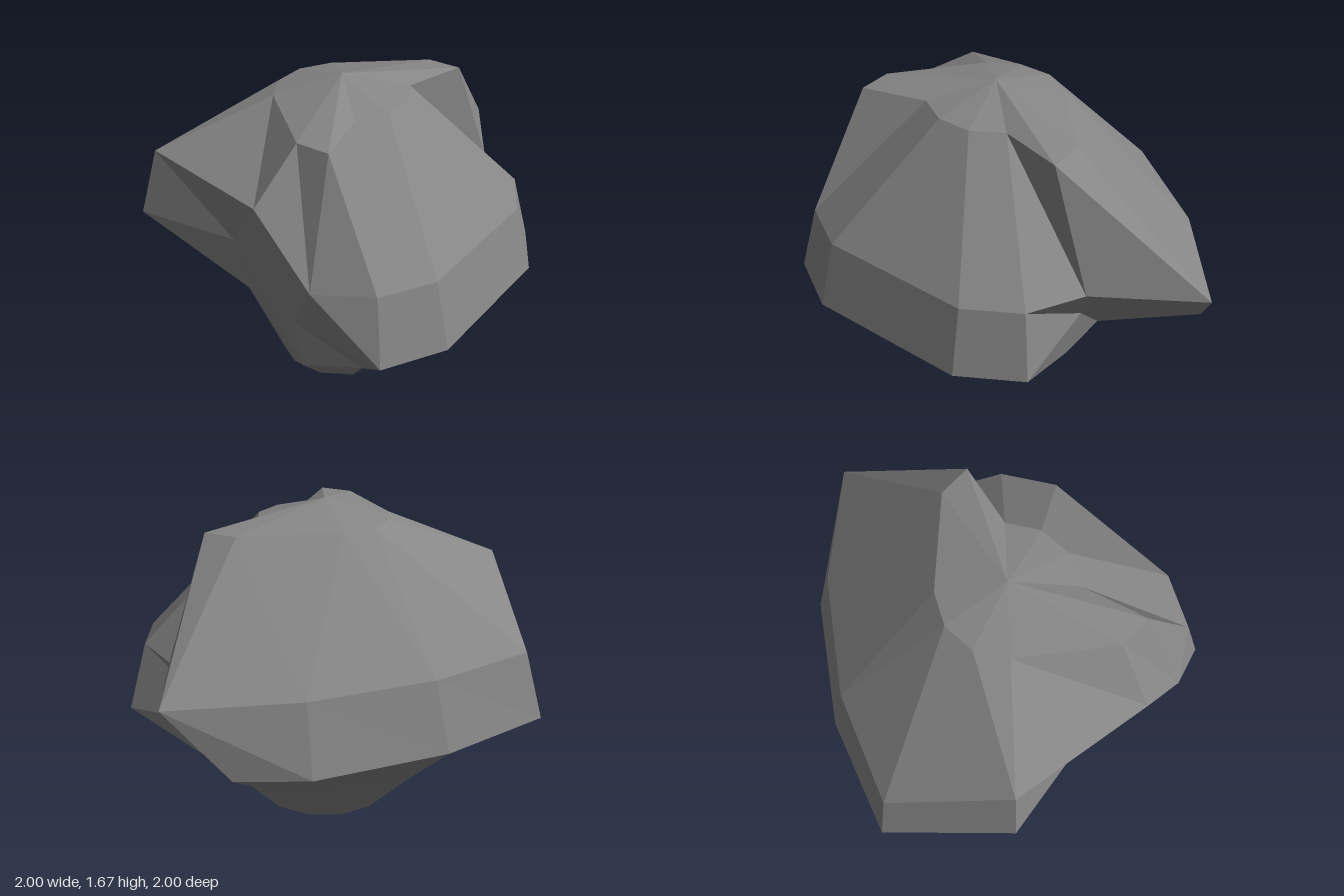
import * as THREE from 'three';

const STEP = 1 / 3;
const SIDES = 12;
const RINGS = 6;

// Whole-step bulges [x, y, z] for each ring of the boulder, starting at -x and turning through +z
const still = [0, 0, 0], up = [0, 1, 0], right = [1, 0, 0], front = [0, 0, 1], back = [0, 0, -1];
const upFront = [0, 1, 1], upRight = [1, 1, 0], upLeft = [-1, 1, 0];
const backRight = [1, 0, -1], backLeft = [-1, 0, -1], spur = [2, 0, -1];

const bulges = [
  Array(SIDES).fill(up),
  [up, upFront, upFront, up, up, up, up, upRight, upRight, up, up, up],
  [upLeft, upFront, front, front, front, right, right, right, spur, backRight, back, backLeft],
  [upLeft, up, still, front, front, right, right, still, backRight, backRight, back, backLeft],
  [up, up, ...Array(SIDES - 2).fill(still)],
  Array(SIDES).fill(still),
  Array(SIDES).fill(still),
];

function boulderGeometry() {
  const sphere = new THREE.SphereGeometry(2 * STEP, SIDES, RINGS);
  sphere.translate(0, 2 * STEP, 0);
  const p = sphere.attributes.position;
  for (let i = 0; i < p.count; i++) {
    const ring = Math.floor(i / (SIDES + 1));
    const side = (i % (SIDES + 1)) % SIDES;
    const [dx, dy, dz] = bulges[ring][side];
    p.setXYZ(i, p.getX(i) + dx * STEP, p.getY(i) + dy * STEP, p.getZ(i) + dz * STEP);
  }
  // Separate faces give crisp facets
  const geometry = sphere.toNonIndexed();
  geometry.computeVertexNormals();

  // Blue patch: three facets wide on the two bands below the widest ring
  const bandStart = (row) => (SIDES + (row - 1) * SIDES * 2) * 3;
  const patchLength = 3 * 6;
  geometry.clearGroups();
  let cursor = 0;
  for (const row of [3, 4]) {
    const start = bandStart(row) + 3 * 6;
    geometry.addGroup(cursor, start - cursor, 0);
    geometry.addGroup(start, patchLength, 1);
    cursor = start + patchLength;
  }
  geometry.addGroup(cursor, geometry.attributes.position.count - cursor, 0);
  return geometry;
}

export function createModel() {
  const stone = new THREE.MeshStandardMaterial({ color: 0x868686 });
  stone.name = 'grey stone';
  const slate = new THREE.MeshStandardMaterial({ color: 0x4b5568 });
  slate.name = 'blue slate';

  const group = new THREE.Group();
  group.name = 'rock';
  const boulder = new THREE.Mesh(boulderGeometry(), [stone, slate]);
  boulder.name = 'boulder';
  group.add(boulder);
  return group;
}
